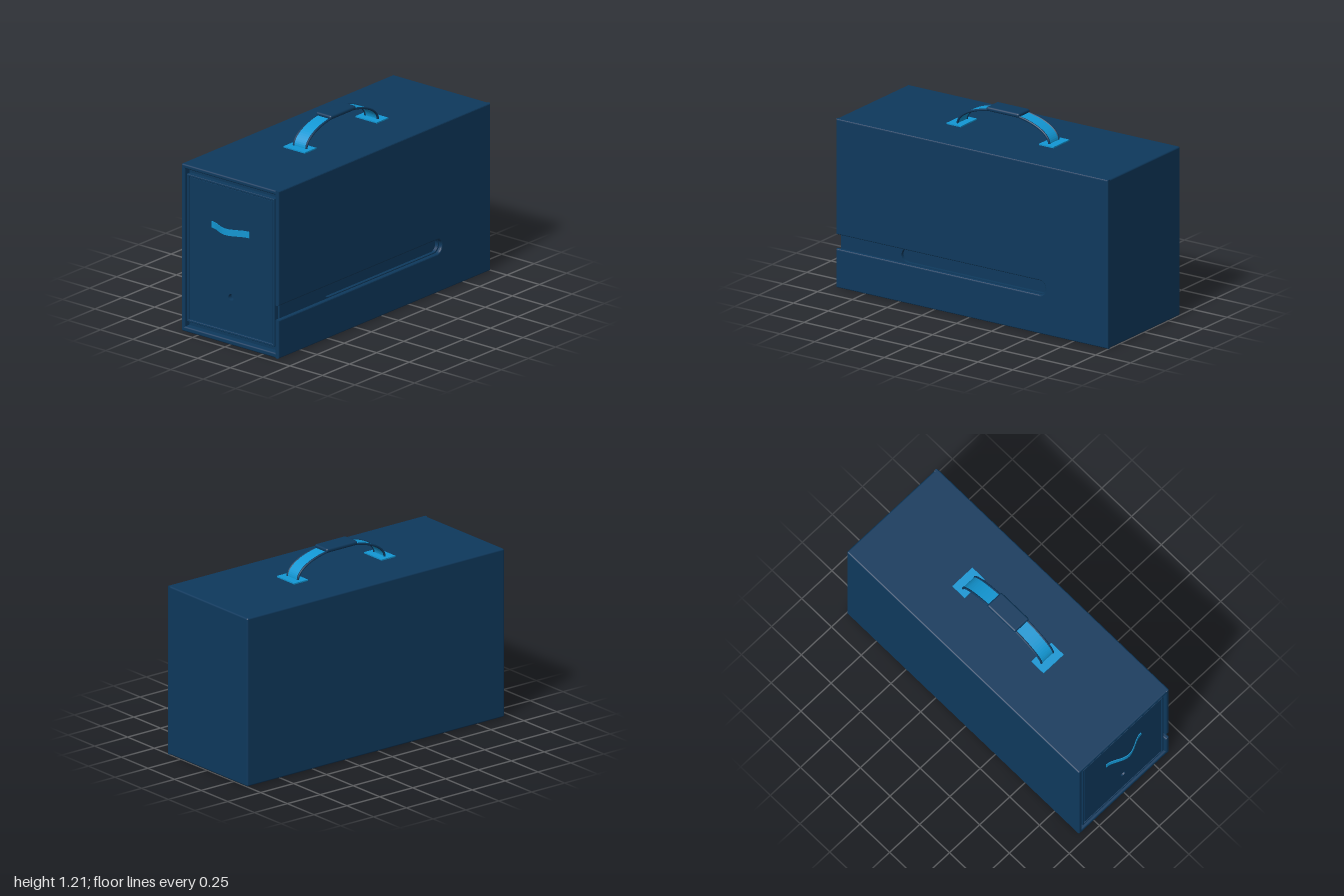
import * as THREE from 'three';
import { RoundedBoxGeometry } from 'three/addons/geometries/RoundedBoxGeometry.js';

export function createModel() {
  const model = new THREE.Group();
  model.name = 'carryCase';
  const navy = new THREE.MeshStandardMaterial({ color: 0x0e395d });
  navy.name = 'navy';
  const blue = new THREE.MeshStandardMaterial({ color: 0x1297d4 });
  blue.name = 'bright blue';

  const add = (name, geometry, material = navy) => {
    const mesh = new THREE.Mesh(geometry, material);
    mesh.name = name;
    model.add(mesh);
    return mesh;
  };
  // Box given by its min and max corners, optionally rounded
  const block = (name, [x0, y0, z0], [x1, y1, z1], r = 0, material = navy) => {
    const size = [x1 - x0, y1 - y0, z1 - z0];
    const geo = r ? new RoundedBoxGeometry(...size, 3, r) : new THREE.BoxGeometry(...size);
    return add(name, geo.translate((x0 + x1) / 2, (y0 + y1) / 2, (z0 + z1) / 2), material);
  };
  const rectPath = (path, x0, y0, x1, y1) =>
    path.moveTo(x0, y0).lineTo(x1, y0).lineTo(x1, y1).lineTo(x0, y1).closePath();
  // Profile drawn in (-z, y), extruded along +x from x0
  const sideExtrude = (shape, x0, depth, bevel = 0) =>
    new THREE.ExtrudeGeometry(shape, {
      depth: depth - 2 * bevel, bevelEnabled: bevel > 0, bevelSize: bevel,
      bevelThickness: bevel, bevelOffset: -bevel, bevelSegments: 3, curveSegments: 16,
    }).rotateY(Math.PI / 2).translate(x0 + bevel, 0, 0);

  const W = 0.375, H = 1.055, back = -1, front = 0.955, wall = 0.028, r = 0.01;
  const slotY = 0.287, slotR = 0.045, slotEnd = 0.505;

  // Outer shell, open at the front
  block('shellTop', [-W, H - wall, back], [W, H, front], r);
  block('shellBottom', [-W, 0, back], [W, wall + 0.004, front], r);
  block('shellLeftoverSide', [-W, 0, back], [-W + wall, H, front], r).name = 'shellRightSide';
  block('shellBack', [-W, 0, back], [W, H, back + wall], r);

  // Side wall with a long slot open to the front
  const side = new THREE.Shape();
  side.moveTo(-front, 0).lineTo(-back, 0).lineTo(-back, H).lineTo(-front, H);
  side.lineTo(-front, slotY + slotR).lineTo(slotEnd, slotY + slotR);
  side.absarc(slotEnd, slotY, slotR, Math.PI / 2, -Math.PI / 2, true);
  side.lineTo(-front, slotY - slotR).closePath();
  add('shellSlottedSide', sideExtrude(side, W - wall, wall, 0.008));

  // Inner drawer, with a shorter closed slot in its side
  const flangeZ = 0.914;
  block('drawerBody', [-0.346, 0.03, -0.97], [0.325, 1.026, flangeZ]);
  const drawerSide = new THREE.Shape();
  rectPath(drawerSide, -flangeZ, 0.03, 0.97, 1.026);
  const innerSlot = new THREE.Path();
  innerSlot.moveTo(-0.46, slotY - 0.043).lineTo(slotEnd, slotY - 0.043);
  innerSlot.absarc(slotEnd, slotY, 0.043, -Math.PI / 2, Math.PI / 2, false);
  innerSlot.lineTo(-0.46, slotY + 0.043);
  innerSlot.absarc(-0.46, slotY, 0.043, Math.PI / 2, Math.PI * 1.5, false);
  drawerSide.holes.push(innerSlot);
  add('drawerSlottedSide', sideExtrude(drawerSide, 0.325, 0.021));

  // Raised rim around the drawer front
  const rim = new THREE.Shape();
  rectPath(rim, -0.337, 0.065, 0.337, 0.996);
  const rimHole = new THREE.Path();
  rectPath(rimHole, -0.322, 0.08, 0.322, 0.981);
  rim.holes.push(rimHole);
  add('drawerRim', new THREE.ExtrudeGeometry(rim, {
    depth: 0.03, bevelSize: 0.004, bevelThickness: 0.004, bevelOffset: -0.004, bevelSegments: 3,
  }).translate(0, 0, 0.914));

  // Front panel with a small round hole
  const panel = new THREE.Shape();
  rectPath(panel, -0.318, 0.084, 0.318, 0.977);
  const hole = new THREE.Path();
  hole.absarc(0, 0.296, 0.02, 0, Math.PI * 2, true);
  panel.holes.push(hole);
  add('drawerPanel', new THREE.ExtrudeGeometry(panel, {
    depth: 0.03, bevelEnabled: false, curveSegments: 24,
  }).translate(0, 0, 0.914));

  // Pull tab: a ribbon bowed forward in the middle
  const tab = new THREE.BoxGeometry(0.29, 0.04, 0.004, 32, 1, 1);
  const p = tab.attributes.position;
  for (let i = 0; i < p.count; i++) {
    const bow = 0.5 + 0.5 * Math.cos((p.getX(i) / 0.145) * Math.PI);
    p.setZ(i, p.getZ(i) + 0.95 + 0.047 * bow);
  }
  tab.translate(0, 0.725, 0);
  tab.computeVertexNormals();
  add('pullTab', tab, blue);

  // Carry handle: arched strap with dark piping, a grip and two base plates
  const midZ = -0.022, span = 0.33, baseY = 1.058;
  const arc = (a, b) => Array.from({ length: 41 }, (_, i) => {
    const t = (i / 40) * Math.PI;
    return new THREE.Vector2(-midZ - a * Math.cos(t), baseY + b * Math.sin(t));
  });
  const strap = new THREE.Shape([...arc(span + 0.003, 0.141), ...arc(span - 0.003, 0.135).reverse()]);
  add('handleStrap', sideExtrude(strap, -0.046, 0.092), blue);
  for (const s of [-1, 1]) {
    const path = new THREE.CatmullRomCurve3(
      arc(span, 0.138).map((v) => new THREE.Vector3(s * 0.048, v.y, -v.x)));
    add('handlePiping', new THREE.TubeGeometry(path, 60, 0.007, 8));
    const z = midZ + s * 0.332;
    block('handlePlate', [-0.083, H - 0.002, z - 0.052], [0.083, H + 0.008, z + 0.052], 0, blue);
  }
  block('handleGrip', [-0.06, 1.183, -0.14], [0.06, 1.21, 0.096], 0.012);

  return model;
}
